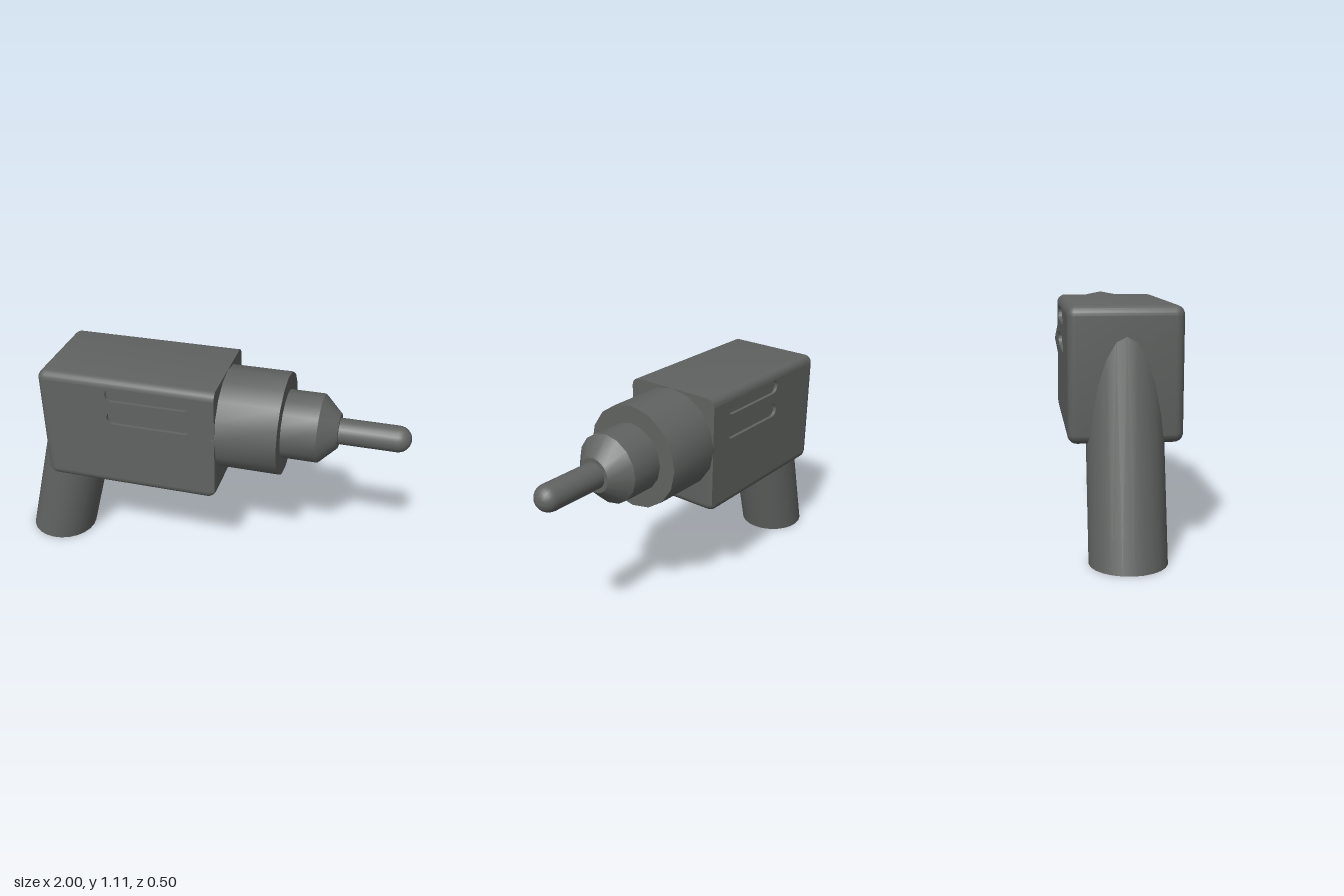
import * as THREE from 'three';
import { toCreasedNormals } from 'three/addons/utils/BufferGeometryUtils.js';

const material = new THREE.MeshStandardMaterial({ color: 0x606361 });

// Housing box in the head's own frame
const cx = -0.325, cy = -0.043, length = 0.884, height = 0.59, width = 0.5, bevel = 0.04;

function part(name, geometry, parent) {
  const mesh = new THREE.Mesh(geometry, material);
  mesh.name = name;
  parent.add(mesh);
  return mesh;
}

// Rounded rectangle centred on (x0, y0); a full radius gives a capsule
function roundedRect(x0, y0, w, h, r, S = THREE.Shape) {
  const s = new S();
  const x = w / 2 - r, y = h / 2 - r, q = Math.PI / 2;
  s.absarc(x0 + x, y0 + y, r, 0, q, false);
  s.absarc(x0 - x, y0 + y, r, q, 2 * q, false);
  s.absarc(x0 - x, y0 - y, r, 2 * q, 3 * q, false);
  s.absarc(x0 + x, y0 - y, r, 3 * q, 4 * q, false);
  s.closePath();
  return s;
}

const housingOutline = () => roundedRect(cx, cy, length - 2 * bevel, height - 2 * bevel, 0.005);

// Turned part along +x from [radius, x] points
function turned(points, sides) {
  const g = new THREE.LatheGeometry(points.map(([r, x]) => new THREE.Vector2(r, x)), sides);
  g.rotateZ(-Math.PI / 2);
  return toCreasedNormals(g, 0.6);
}

// Flatten the drilling end: only its bottom edge stays rounded
function squareFront(g) {
  const p = g.attributes.position;
  const front = cx + length / 2, bottom = cy - height / 2;
  for (let i = 0; i < p.count; i++) {
    if (p.getX(i) > front - bevel - 0.006 && p.getY(i) > bottom + bevel + 0.004) p.setX(i, front);
  }
  return toCreasedNormals(g, 0.6);
}

// Housing shell with rounded rims, left open at its two side faces
function housingShell() {
  const full = new THREE.ExtrudeGeometry(housingOutline(), {
    depth: width - 2 * bevel, bevelSize: bevel, bevelThickness: bevel, bevelSegments: 5, curveSegments: 6,
  });
  const side = full.groups[1];
  const p = full.attributes.position.array.slice(side.start * 3, (side.start + side.count) * 3);
  const g = new THREE.BufferGeometry();
  g.setAttribute('position', new THREE.BufferAttribute(p, 3));
  g.translate(0, 0, bevel - width / 2);
  return squareFront(g);
}

export function createModel() {
  const model = new THREE.Group();
  model.name = 'drill';

  // Upper assembly, tipped slightly upwards along the drilling axis
  const head = new THREE.Group();
  head.name = 'head';
  head.position.y = 0.85;
  head.rotation.z = 0.018;
  model.add(head);

  // Motor housing
  part('housing', housingShell(), head);

  // Side panels with recessed vent slots
  const slotX = -0.207, slots = [0.174, 0.049], recess = 0.018;
  for (const s of [1, -1]) {
    const panel = new THREE.Group();
    panel.name = s > 0 ? 'frontSidePanel' : 'backSidePanel';
    head.add(panel);
    const face = housingOutline();
    for (const y of slots) face.holes.push(roundedRect(slotX, y, 0.42, 0.068, 0.034, THREE.Path));
    const plate = new THREE.ExtrudeGeometry(face, { depth: recess, bevelEnabled: false, curveSegments: 6 });
    plate.translate(0, 0, s > 0 ? width / 2 - recess : -width / 2);
    part('sidePlate', squareFront(plate), panel);
    for (const y of slots) {
      const floor = new THREE.ShapeGeometry(roundedRect(0, y, 0.43, 0.078, 0.039), 6);
      if (s < 0) floor.rotateY(Math.PI);
      floor.translate(slotX, 0, s * (width / 2 - recess + 0.001));
      part('ventFloor', floor, panel);
    }
  }

  // Gearbox collar, chuck and bit
  part('collar', turned([[0, 0.1], [0.252, 0.1], [0.252, 0.41], [0, 0.41]], 16), head);
  part('chuck', turned([[0, 0.38], [0.168, 0.38], [0.168, 0.578], [0.084, 0.664], [0, 0.664]], 16), head);
  const r = 0.063, bit = [[0, 0.6], [r, 0.6]];
  for (let i = 0; i <= 8; i++) {
    const a = (i / 8) * Math.PI / 2;
    bit.push([i === 8 ? 0 : r * Math.cos(a), 1 - r + r * Math.sin(a)]);
  }
  part('bit', turned(bit, 20), head);

  // Handle: a cylinder sheared backwards so its foot stays level
  const handle = new THREE.CylinderGeometry(0.17, 0.17, 1, 24);
  handle.scale(1.015, 1, 1).translate(0, 0.5, 0);
  const pos = handle.attributes.position;
  for (let i = 0; i < pos.count; i++) pos.setX(i, pos.getX(i) - 0.8275 + pos.getY(i) * 0.241);
  part('handle', toCreasedNormals(handle, 0.6), model);

  return model;
}
